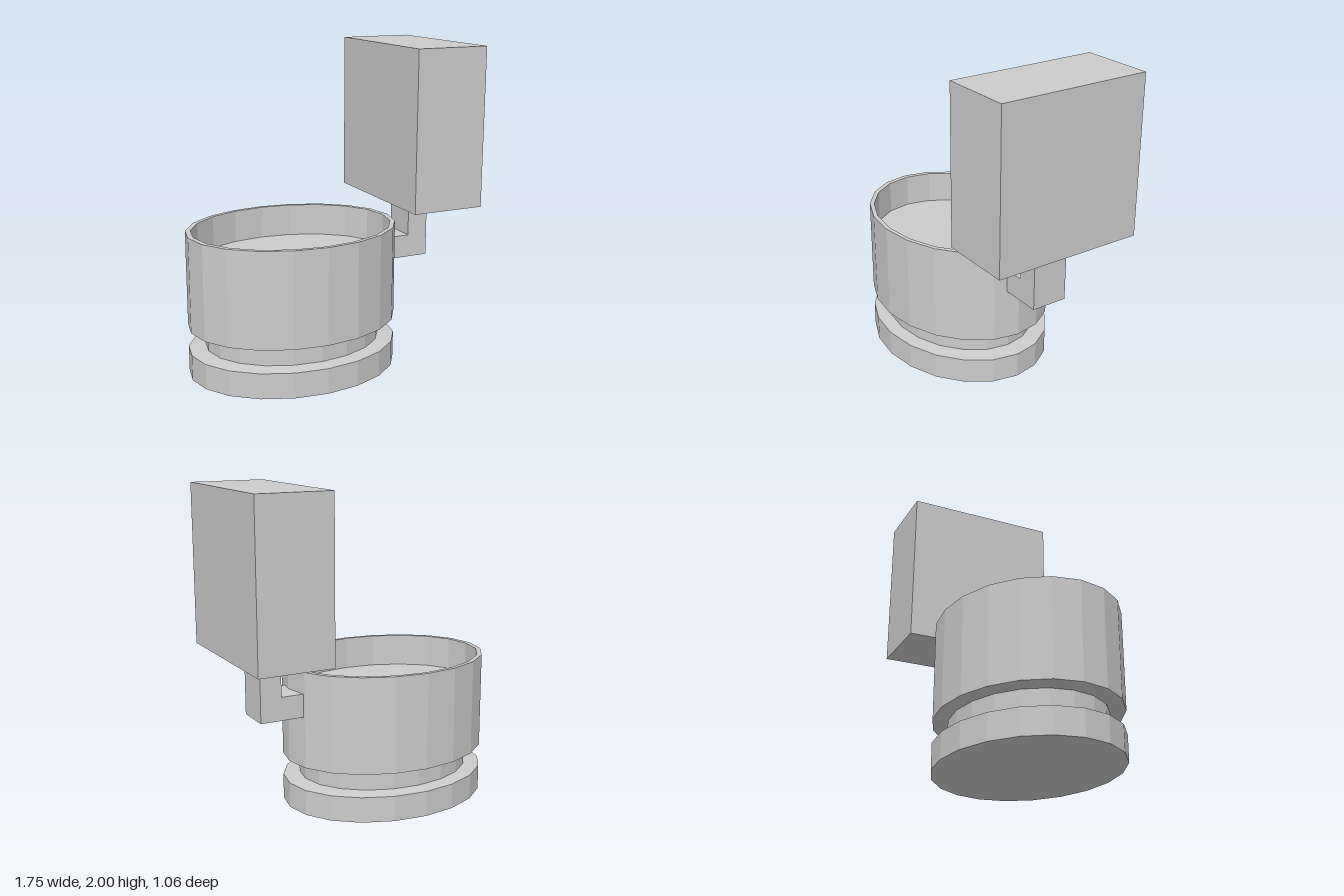
import * as THREE from 'three';

const material = new THREE.MeshStandardMaterial({ color: 0xcccccc, flatShading: true });

function addMesh(parent, name, geometry) {
  const mesh = new THREE.Mesh(geometry, material);
  mesh.name = name;
  parent.add(mesh);
  return mesh;
}

// Box given by its minimum and maximum corners
function addBox(parent, name, [x0, y0, z0], [x1, y1, z1]) {
  const box = addMesh(parent, name, new THREE.BoxGeometry(x1 - x0, y1 - y0, z1 - z0));
  box.position.set((x0 + x1) / 2, (y0 + y1) / 2, (z0 + z1) / 2);
}

export function createModel() {
  const model = new THREE.Group();
  model.name = 'toilet';

  // Oval pedestal, neck and bowl: one 20-sided turned profile, squashed in z
  const profile = [
    [0, 0], [0.67, 0], [0.67, 0.16],        // foot
    [0.562, 0.172], [0.562, 0.295],         // neck
    [0.67, 0.305], [0.67, 0.905],           // outer wall
    [0.637, 0.905], [0.637, 0.7], [0, 0.7], // rim, inner wall, bowl floor
  ].map(([r, y]) => new THREE.Vector2(r, y));
  const bowl = addMesh(model, 'bowl', new THREE.LatheGeometry(profile, 20));
  bowl.scale.z = 0.79;
  bowl.position.x = -0.208;

  // L-shaped bracket joining the bowl to the tank
  const bracketShape = new THREE.Shape([
    [0.43, 0.625], [0.71, 0.625], [0.71, 1.01], [0.575, 1.01], [0.575, 0.77], [0.43, 0.77],
  ].map(([x, y]) => new THREE.Vector2(x, y)));
  const bracket = addMesh(model, 'bracket',
    new THREE.ExtrudeGeometry(bracketShape, { depth: 0.23, bevelEnabled: false }));
  bracket.position.z = -0.15;

  // Water tank
  addBox(model, 'tank', [0.407, 1.01, -0.518], [0.876, 2, 0.448]);

  return model;
}
